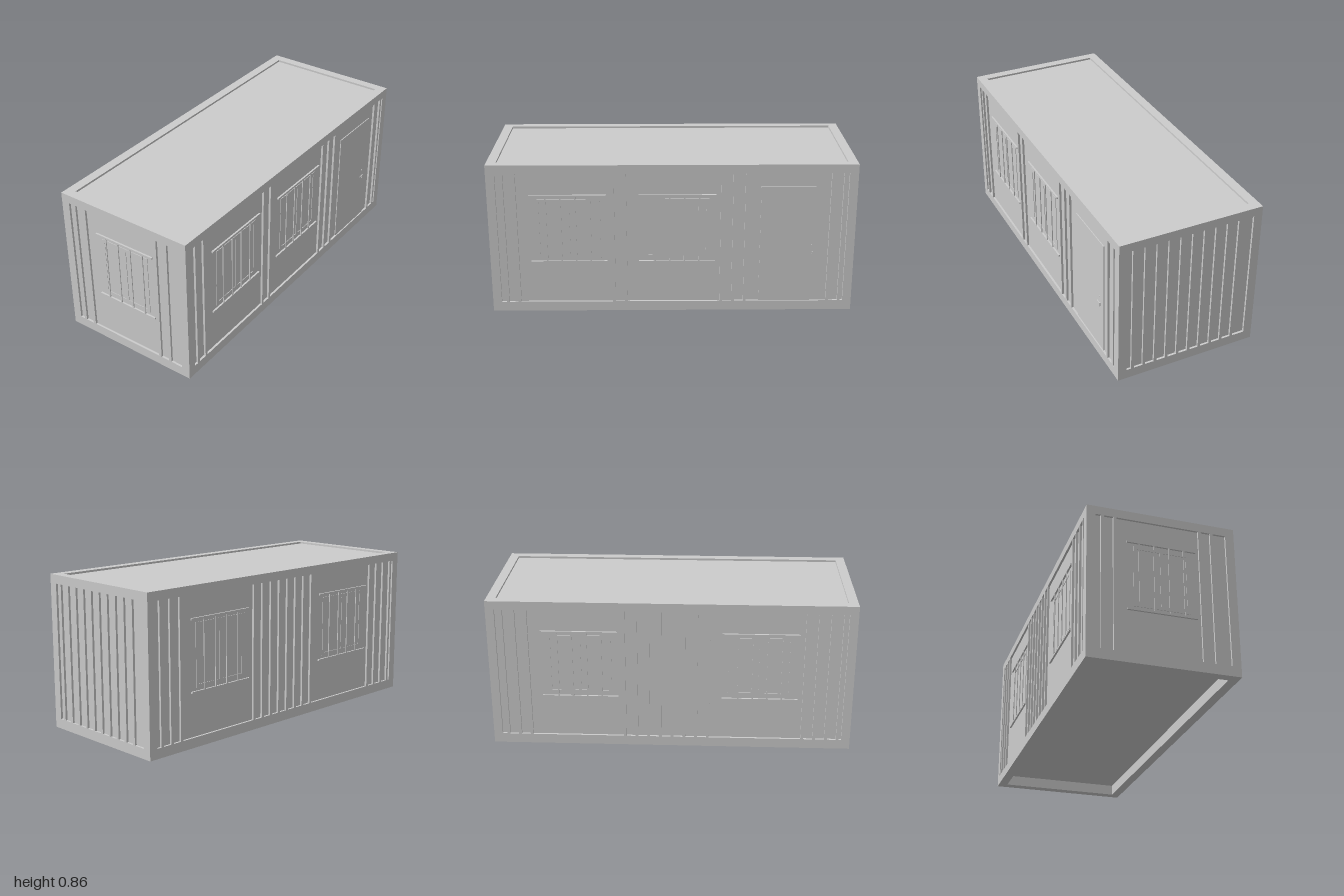
import * as THREE from 'three';

const W = 1, D = 0.402, H = 0.855;      // half width, half depth, height
const T = 0.012;                        // depth of the wall recesses
const BOTTOM = 0.055, TOP = 0.807;      // recess heights
const PITCH = 0.066, STRIP = 0.05;      // rib spacing and recess width
const EDGE = 0.048;                     // corner post width
const material = new THREE.MeshStandardMaterial({ color: 0xcccccc, flatShading: true });

function add(parent, name, geometry, x = 0, y = 0, z = 0) {
  const mesh = new THREE.Mesh(geometry, material);
  mesh.name = name;
  mesh.position.set(x, y, z);
  parent.add(mesh);
  return mesh;
}

const box = (parent, name, w, h, d, x, y, z) =>
  add(parent, name, new THREE.BoxGeometry(w, h, d), x, y, z);

function rect(PathType, x0, y0, x1, y1) {
  const p = new PathType();
  p.moveTo(x0, y0);
  p.lineTo(x1, y0);
  p.lineTo(x1, y1);
  p.lineTo(x0, y1);
  p.closePath();
  return p;
}

function extrudeRect(x0, y0, x1, y1, holes, depth) {
  const shape = rect(THREE.Shape, x0, y0, x1, y1);
  for (const h of holes) shape.holes.push(rect(THREE.Path, ...h));
  return new THREE.ExtrudeGeometry(shape, { depth, bevelEnabled: false });
}

// Window frame with mullion and a security grille in front of it
function addWindow(parent, x, railLength) {
  const win = new THREE.Group();
  win.name = 'window';
  win.position.x = x;
  parent.add(win);
  const w = railLength / 2 - 0.035, y0 = 0.315, y1 = 0.66, b = 0.018;
  add(win, 'windowFrame',
    extrudeRect(-w, y0, w, y1, [[-w + b, y0 + b, w - b, y1 - b]], 0.003));
  box(win, 'mullion', 0.016, y1 - y0 - 2 * b, 0.003, 0, (y0 + y1) / 2, 0.0015);
  for (const y of [0.295, 0.68]) box(win, 'grilleRail', railLength, 0.01, 0.01, 0, y, 0.005);
  for (const bx of [-0.12, -0.04, 0.04, 0.12])
    box(win, 'grilleBar', 0.008, 0.385, 0.005, bx, 0.4875, 0.007);
}

// Raised door leaf with lever handle and lock
function addDoor(parent, x) {
  const door = new THREE.Group();
  door.name = 'door';
  door.position.x = x;
  parent.add(door);
  box(door, 'doorLeaf', 0.33, 0.73 - BOTTOM, 0.005, 0, (0.73 + BOTTOM) / 2, 0.0025);
  box(door, 'handleStem', 0.007, 0.022, 0.005, 0.126, 0.34, 0.0075);
  box(door, 'handleLever', 0.034, 0.007, 0.004, 0.1125, 0.348, 0.01);
  const lock = add(door, 'lock', new THREE.CylinderGeometry(0.005, 0.005, 0.004, 12), 0.12, 0.388, 0.007);
  lock.rotation.x = Math.PI / 2;
}

// One ribbed wall. Each bay [first, last, kind] merges a run of recesses.
function addWall(parent, { name, half, ends, offset, angle, bays, rail }) {
  const wall = new THREE.Group();
  wall.name = name;
  wall.rotation.y = angle;
  parent.add(wall);
  const inner = half - EDGE;
  const first = -inner + 0.043;
  const start = k => first + k * PITCH;
  const holes = [[-inner, BOTTOM, -inner + 0.027, TOP]];
  const fittings = new THREE.Group();
  fittings.name = name + 'Fittings';
  fittings.position.z = offset - T;
  wall.add(fittings);
  for (let k = 0; start(k) < inner - 0.005; k++) {
    const bay = bays.find(b => b[0] === k);
    const x0 = start(k);
    if (bay) k = bay[1];
    let x1 = start(k) + STRIP;
    // the last recess takes up what is left before the corner post
    if (x1 + 0.023 > inner) { x1 = inner; k++; }
    holes.push([x0, BOTTOM, x1, TOP]);
    // fittings sit slightly to the right of the bay's middle
    const middle = (x0 + x1) / 2;
    if (bay && bay[2] === 'door') addDoor(fittings, middle + 0.012);
    else if (bay) addWindow(fittings, middle + 0.02, rail);
  }
  add(wall, name + 'Panel', extrudeRect(-ends, 0, ends, H, holes, T), 0, 0, offset - T);
}

// Flat ring lying inside the walls, used at the roof and base
function addRim(parent, name, y, height) {
  const x = W - T, z = D - T, ix = W - 0.052, iz = D - 0.052;
  const rim = add(parent, name, extrudeRect(-x, -z, x, z, [[-ix, -iz, ix, iz]], height), 0, y, 0);
  rim.rotation.x = -Math.PI / 2;
}

export function createModel() {
  const model = new THREE.Group();
  model.name = 'cabin';

  // Inner shell: recessed wall faces, roof sheet and floor underside
  const floorY = 0.06, roofY = H - 0.011;
  // the shell reaches down behind the lowest edge of the recesses
  box(model, 'innerShell', 2 * (W - T), roofY - floorY, 2 * (D - T), 0, (roofY + floorY) / 2, 0);
  addRim(model, 'roofRim', roofY, H - roofY);
  addRim(model, 'baseRim', 0, floorY);

  addWall(model, {
    name: 'frontWall', half: W, ends: W, offset: D, angle: 0, rail: 0.42,
    bays: [[1, 8, 'window'], [10, 17, 'window'], [20, 26, 'door']],
  });
  addWall(model, {
    name: 'backWall', half: W, ends: W, offset: D, angle: Math.PI, rail: 0.42,
    bays: [[2, 9, 'window'], [17, 24, 'window']],
  });
  addWall(model, {
    name: 'rightWall', half: D, ends: D - T, offset: W, angle: Math.PI / 2, bays: [], rail: 0,
  });
  addWall(model, {
    name: 'leftWall', half: D, ends: D - T, offset: W, angle: -Math.PI / 2, rail: 0.37,
    bays: [[1, 7, 'window']],
  });
  return model;
}
